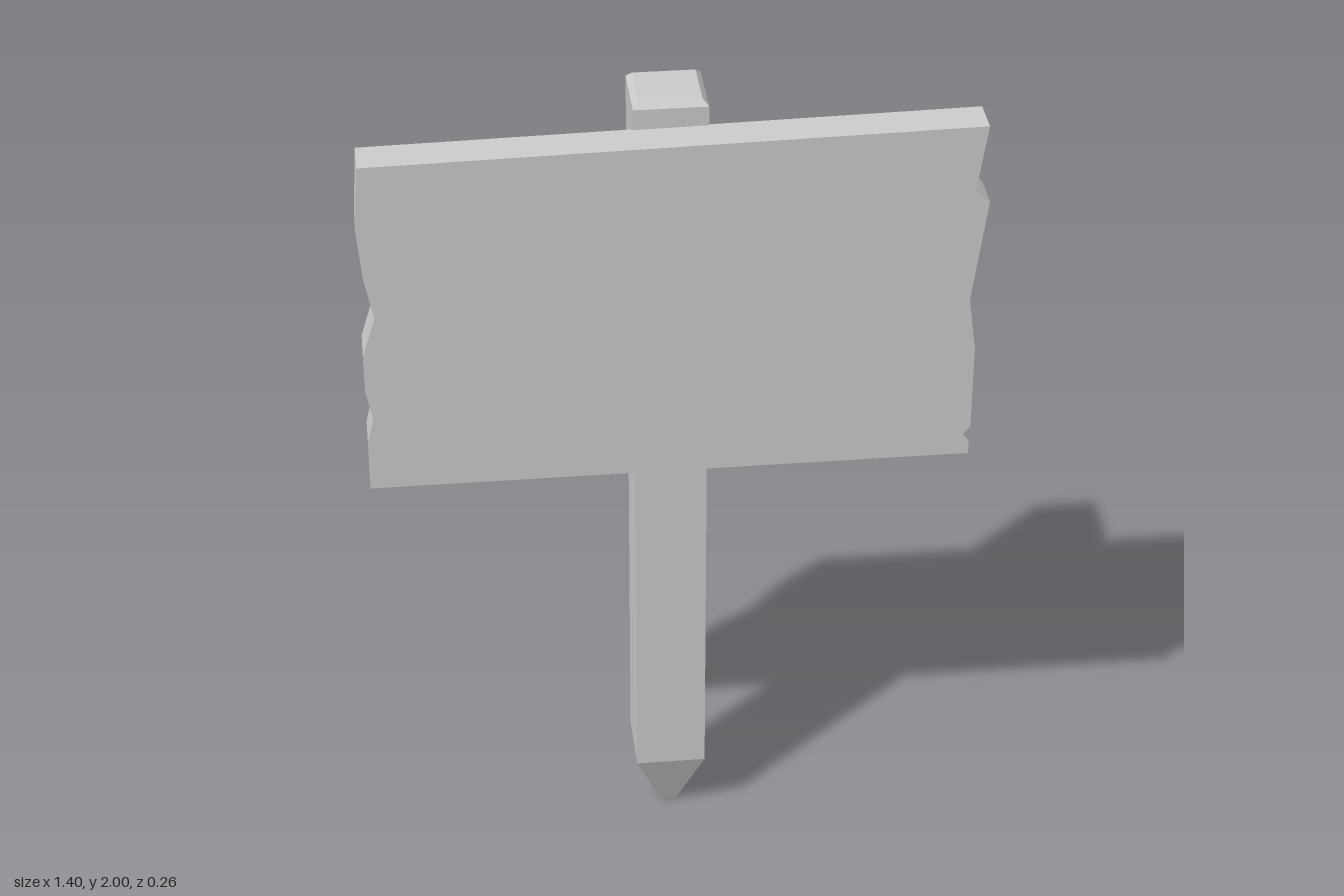
import * as THREE from 'three';

// Square post section: half-width at a given height, as a lathe profile point
const ring = (half, y) => new THREE.Vector2(half * Math.SQRT2, y);

// Hard-edged normals for faceted timber
function faceted(geometry) {
  const g = geometry.index ? geometry.toNonIndexed() : geometry;
  g.computeVertexNormals();
  return g;
}

export function createModel() {
  const group = new THREE.Group();
  group.name = 'signpost';

  const wood = new THREE.MeshStandardMaterial({ color: 0xcccccc });
  wood.name = 'plain grey';

  // Post: sharpened foot, straight shaft, bevelled top
  const profile = [
    ring(0, 0), ring(0.019, 0), ring(0.084, 0.17),
    ring(0.084, 1.987), ring(0.071, 2), ring(0, 2),
  ];
  const post = new THREE.Mesh(
    faceted(new THREE.LatheGeometry(profile, 4, Math.PI / 4)), wood);
  post.name = 'post';
  post.position.z = -0.045;
  group.add(post);

  // Board: slightly slanted top, chipped ends
  const outline = [
    // right end, going up
    [0.685, 1.097], [0.685, 1.13], [0.67, 1.15], [0.687, 1.17], [0.687, 1.38],
    [0.669, 1.513], [0.702, 1.763], [0.669, 1.793], [0.692, 1.952],
    // left end, going down
    [-0.693, 1.928], [-0.703, 1.77], [-0.692, 1.65], [-0.672, 1.548],
    [-0.702, 1.45], [-0.702, 1.36], [-0.687, 1.285], [-0.702, 1.22], [-0.702, 1.097],
  ];
  const shape = new THREE.Shape(outline.map(([x, y]) => new THREE.Vector2(x, y)));
  const board = new THREE.Mesh(
    faceted(new THREE.ExtrudeGeometry(shape, { depth: 0.095, bevelEnabled: false })), wood);
  board.name = 'board';
  board.position.z = 0.035;
  group.add(board);

  return group;
}
